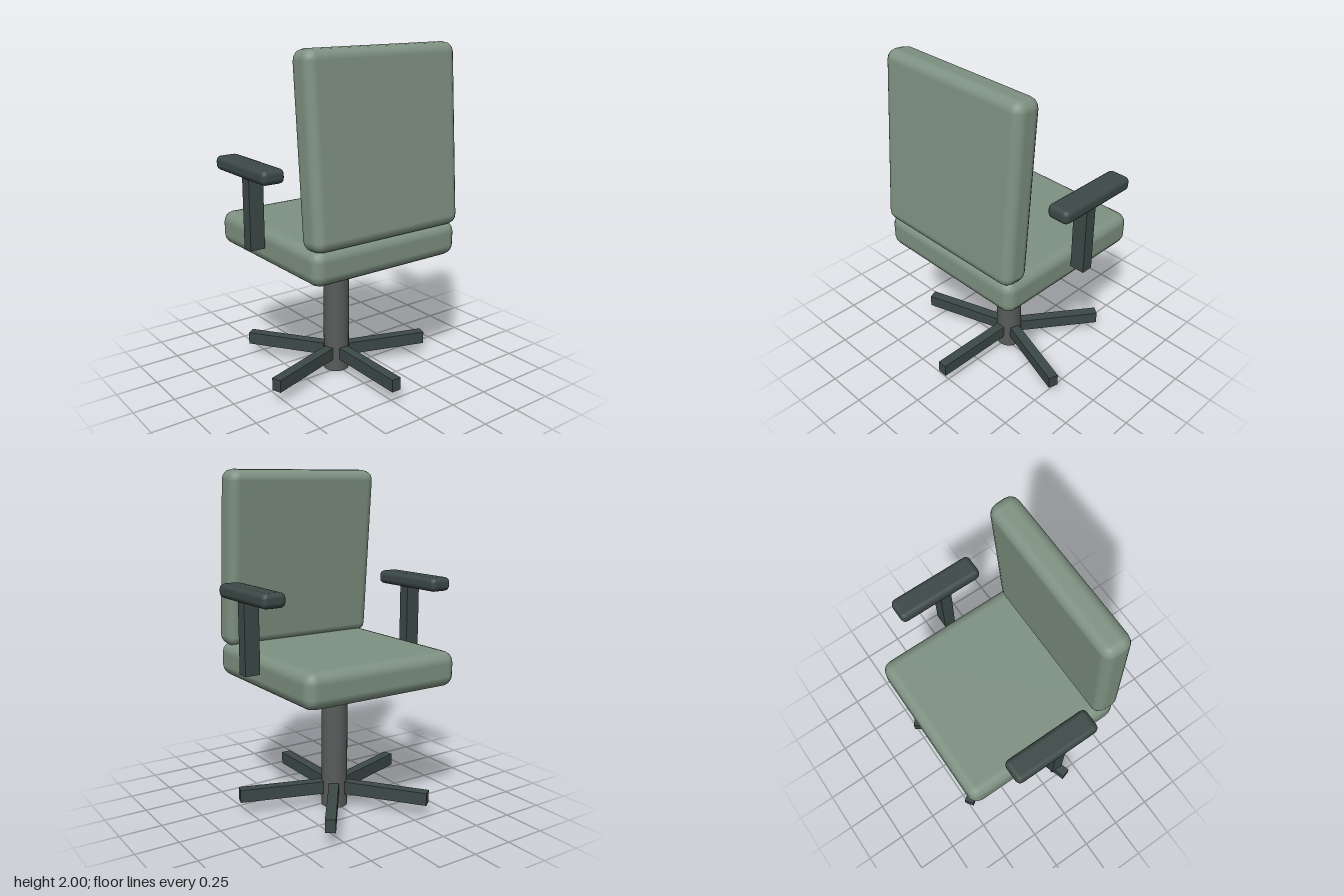
import * as THREE from 'three';
import { RoundedBoxGeometry } from 'three/addons/geometries/RoundedBoxGeometry.js';

const AXIS_Z = -0.035; // depth of the swivel axis

export function createModel() {
  const chair = new THREE.Group();
  chair.name = 'swivelChair';

  const fabric = new THREE.MeshStandardMaterial({ color: 0x7f9282 });
  const plastic = new THREE.MeshStandardMaterial({ color: 0x3c4947 });
  const metal = new THREE.MeshStandardMaterial({ color: 0x585c5b });

  const add = (name, geometry, material, x, y, z, parent = chair) => {
    const mesh = new THREE.Mesh(geometry, material);
    mesh.name = name;
    mesh.position.set(x, y, z);
    parent.add(mesh);
    return mesh;
  };

  // Cushions: flat seat and a back leaning slightly over it
  add('seat', new RoundedBoxGeometry(1, 0.205, 1.02, 2, 0.065), fabric, 0, 0.882, AXIS_Z);
  const back = add('backrest', new RoundedBoxGeometry(1, 1.035, 0.17, 2, 0.06), fabric, 0, 1.482, 0.368);
  back.rotation.x = -0.08;

  // Central column
  add('column', new THREE.CylinderGeometry(0.078, 0.078, 0.8, 32), metal, 0, 0.4, AXIS_Z);

  // Five-legged star base, one leg pointing towards the backrest
  const base = new THREE.Group();
  base.name = 'starBase';
  base.position.set(0, 0.118, AXIS_Z);
  chair.add(base);
  const legGeometry = new THREE.BoxGeometry(0.06, 0.076, 0.505).translate(0, 0, 0.3275);
  for (let i = 0; i < 5; i++) {
    add('leg' + (i + 1), legGeometry, plastic, 0, 0, 0, base).rotation.y = (i * Math.PI * 2) / 5;
  }

  // Armrests: a post and a rounded pad on each side
  const postGeometry = new THREE.BoxGeometry(0.09, 0.43, 0.07);
  const padGeometry = new RoundedBoxGeometry(0.14, 0.082, 0.525, 2, 0.03);
  for (const [side, sign] of [['left', 1], ['right', -1]]) {
    add(side + 'ArmPost', postGeometry, plastic, sign * 0.56, 1.105, AXIS_Z);
    add(side + 'ArmPad', padGeometry, plastic, sign * 0.56, 1.336, -0.07);
  }

  return chair;
}
